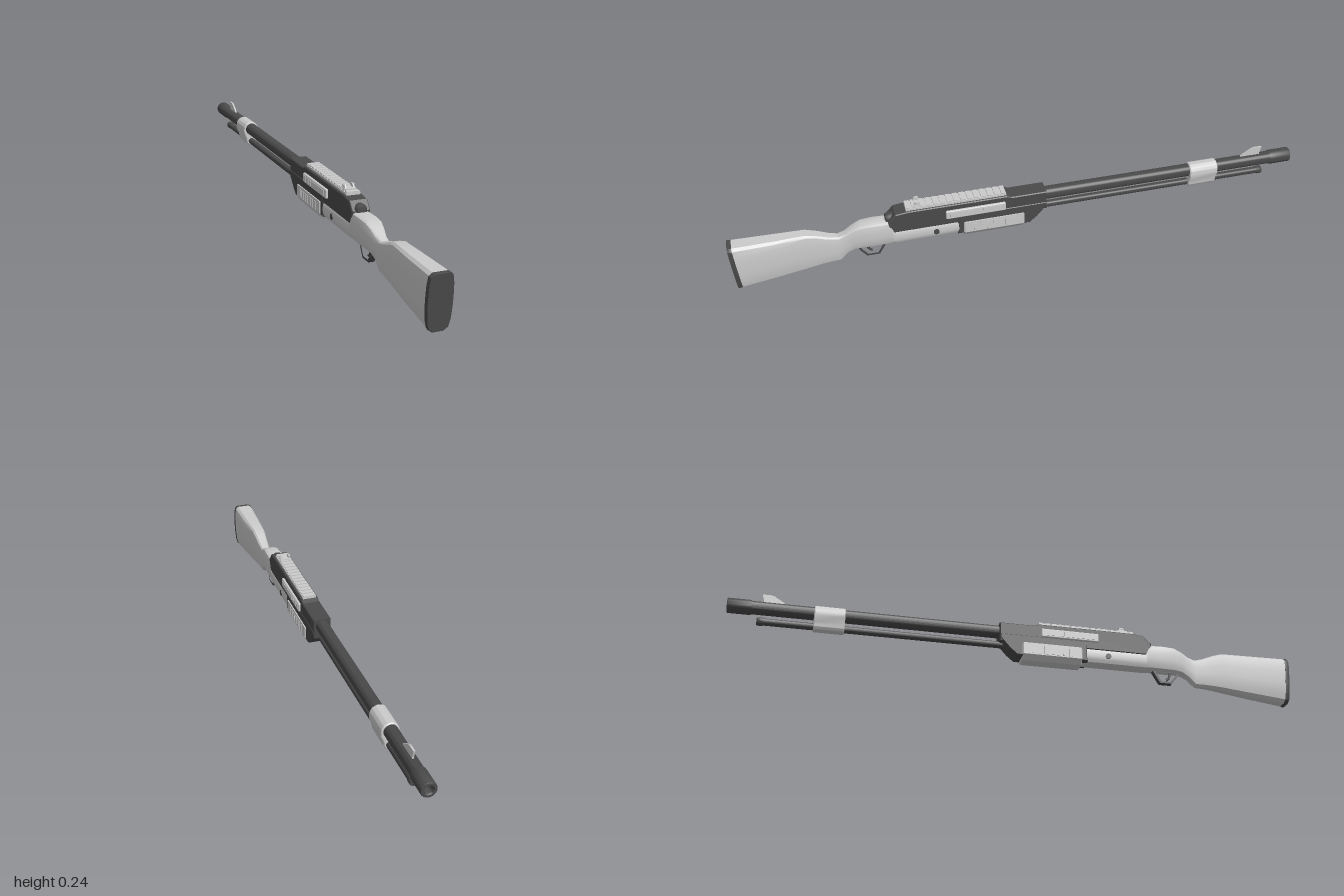
import * as THREE from 'three';
import { toCreasedNormals } from 'three/addons/utils/BufferGeometryUtils.js';
import { RoundedBoxGeometry } from 'three/addons/geometries/RoundedBoxGeometry.js';

const grey = new THREE.MeshStandardMaterial({ color: 0xcccccc });
const dark = new THREE.MeshStandardMaterial({ color: 0x4a4a4a });

// Half outline of a stock cross-section: fraction of half width, fraction of height
const HALF = [[0, 0], [0.4, 0], [0.78, 0.06], [0.93, 0.2], [1, 0.42], [1, 0.65], [0.97, 0.82], [0.87, 0.95], [0.62, 1], [0, 1]];
const RING = [...HALF, ...HALF.slice(1, -1).reverse().map(([x, y]) => [-x, y])];

// Closed skin through sections [z, bottom, top, halfWidth, lean], in order of rising z
function loft(sections) {
  const n = RING.length, pos = [], idx = [];
  for (const [z, y0, y1, w, lean = 0] of sections)
    for (const [x, y] of RING) pos.push(x * w, y0 + y * (y1 - y0), z + lean * y);
  for (let s = 0; s < sections.length - 1; s++)
    for (let i = 0; i < n; i++) {
      const a = s * n + i, b = s * n + (i + 1) % n;
      idx.push(a, b, a + n, b, b + n, a + n);
    }
  const last = (sections.length - 1) * n;
  for (let i = 1; i < n - 1; i++) {
    idx.push(0, i + 1, i);
    idx.push(last, last + i, last + i + 1);
  }
  const g = new THREE.BufferGeometry();
  g.setAttribute('position', new THREE.Float32BufferAttribute(pos, 3));
  g.setIndex(idx);
  return toCreasedNormals(g, 0.6);
}

// Side profile in (z, y), extruded across x, with optional hole and bevel
function slab(points, width, bevel = 0, hole) {
  const vec = p => p.map(([z, y]) => new THREE.Vector2(z, y));
  const shape = new THREE.Shape(vec(points));
  if (hole) shape.holes.push(new THREE.Path(vec(hole)));
  const depth = width - 2 * bevel;
  return new THREE.ExtrudeGeometry(shape, {
    depth, bevelEnabled: bevel > 0, bevelSize: bevel, bevelThickness: bevel, bevelOffset: -bevel, bevelSegments: 1,
  }).translate(0, 0, -depth / 2).rotateY(-Math.PI / 2);
}

// Turned part along z from [radius, z] points
function turned(points, y) {
  const g = new THREE.LatheGeometry(points.map(([r, z]) => new THREE.Vector2(r, z)), 28);
  return toCreasedNormals(g.rotateX(Math.PI / 2), 0.6).translate(0, y, 0);
}

export function createModel() {
  const model = new THREE.Group();
  const add = (name, geometry, material, x = 0, y = 0, z = 0, parent = model) => {
    const m = new THREE.Mesh(geometry, material);
    m.name = name;
    m.position.set(x, y, z);
    parent.add(m);
    return m;
  };
  const box = (name, w, h, d, mat, x, y, z, parent) =>
    add(name, new THREE.BoxGeometry(w, h, d), mat, x, y, z, parent);
  const group = name => {
    const g = new THREE.Group();
    g.name = name;
    model.add(g);
    return g;
  };

  // Stock, grip and lower body in one continuous skin
  add('stock', loft([
    [0.2, 0.087, 0.142, 0.032], [0.45, 0.086, 0.142, 0.032], [0.462, 0.086, 0.178, 0.032],
    [0.52, 0.085, 0.18, 0.032], [0.56, 0.085, 0.178, 0.03], [0.588, 0.083, 0.167, 0.025],
    [0.615, 0.068, 0.15, 0.02], [0.64, 0.042, 0.141, 0.019], [0.67, 0.041, 0.149, 0.021],
    [0.71, 0.037, 0.165, 0.024], [0.745, 0.032, 0.175, 0.027], [0.85, 0.018, 0.175, 0.033],
    [0.972, 0.003, 0.176, 0.038, 0.013],
  ]), grey);
  add('buttPlate', loft([
    [0.972, 0.003, 0.176, 0.039, 0.013], [0.982, 0.0, 0.177, 0.04, 0.013], [0.987, 0.002, 0.175, 0.038, 0.013],
  ]), dark);

  // Receiver: upper housing, and the deeper nose that the barrel leaves from
  add('receiver', slab([
    [0.47, 0.137], [0.47, 0.182], [0.445, 0.21], [0.4, 0.215], [0.06, 0.215], [0.045, 0.208], [-0.08, 0.208], [-0.08, 0.137],
  ], 0.062, 0.003), dark);
  add('receiverNose', slab([
    [0.235, 0.088], [0.235, 0.168], [-0.08, 0.168], [-0.08, 0.148], [-0.045, 0.108], [-0.02, 0.087],
  ], 0.066, 0.005), dark);
  add('boltEnd', turned([[0.021, 0.42], [0.021, 0.466], [0.016, 0.477], [0, 0.479]], 0.182), dark);

  // Barrel with open muzzle
  add('barrel', turned([
    [0, -0.9], [0.013, -0.9], [0.013, -0.995], [0.016, -1], [0.024, -1], [0.0255, -0.997],
    [0.0255, -0.925], [0.0225, -0.918], [0.0225, -0.07],
  ], 0.183), dark);

  // Magazine tube with end cap
  add('magazineTube', turned([
    [0, -0.9], [0.012, -0.9], [0.014, -0.896], [0.014, -0.882], [0.012, -0.878], [0.012, -0.05],
  ], 0.134), dark);

  // Clamp joining barrel and tube
  const clamp = new THREE.Shape();
  clamp.absarc(0, 0.181, 0.029, 0, Math.PI, false);
  clamp.lineTo(-0.029, 0.166);
  clamp.lineTo(-0.02, 0.145);
  clamp.absarc(0, 0.135, 0.019, Math.PI, Math.PI * 2, false);
  clamp.lineTo(0.02, 0.145);
  clamp.lineTo(0.029, 0.166);
  const clampGeo = new THREE.ExtrudeGeometry(clamp, {
    depth: 0.098, bevelSize: 0.003, bevelOffset: -0.003, bevelThickness: 0.003, bevelSegments: 1,
  });
  add('barrelClamp', toCreasedNormals(clampGeo, 0.5), grey, 0, 0, -0.712);

  // Front sight blade
  add('frontSight', slab([
    [-0.805, 0.2], [-0.815, 0.21], [-0.85, 0.232], [-0.86, 0.235], [-0.89, 0.235], [-0.883, 0.21], [-0.885, 0.2],
  ], 0.006), grey);

  // Low toothed top rail
  const rail = group('topRail');
  box('railBase', 0.048, 0.008, 0.346, grey, 0, 0.218, 0.235, rail);
  for (let i = 0; i < 15; i++)
    box('railTooth', 0.043, 0.005, 0.016, grey, 0, 0.2235, 0.0705 + i * 0.0235, rail);

  // Rear sight with two hooked posts
  const rear = group('rearSight');
  box('rearSightBase', 0.038, 0.004, 0.034, grey, 0, 0.227, 0.37, rear);
  for (const s of [-1, 1]) {
    add('rearSightPost', slab([[0.357, 0.224], [0.359, 0.24], [0.373, 0.24], [0.382, 0.224]], 0.005), grey, s * 0.014, 0, 0, rear);
    box('rearSightLip', 0.004, 0.004, 0.012, grey, s * 0.0175, 0.237, 0.366, rear);
  }

  // Side panels with a raised inner strip and dividers, plus a cross pin on each side
  for (const s of [-1, 1]) {
    const panel = group(s > 0 ? 'leftSidePanel' : 'rightSidePanel');
    add('panelPlate', new RoundedBoxGeometry(0.011, 0.032, 0.208, 2, 0.004), grey, s * 0.034, 0.18, 0.171, panel);
    box('panelStrip', 0.004, 0.02, 0.11, grey, s * 0.0395, 0.18, 0.205, panel);
    for (let i = 0; i < 3; i++)
      box('panelCell', 0.004, 0.02, 0.018, grey, s * 0.0395, 0.18, 0.088 + i * 0.025, panel);
    add('crossPin', new THREE.CylinderGeometry(0.01, 0.01, 0.008, 16).rotateZ(Math.PI / 2), dark, s * 0.031, 0.115, 0.31);
  }

  // Sliding forend: U-shaped shell with grip ribs on both flanks
  const forend = group('forend');
  const u = [[-0.037, 0.137], [-0.037, 0.094], [-0.022, 0.075], [0.022, 0.075], [0.037, 0.094], [0.037, 0.137]];
  const forendGeo = new THREE.ExtrudeGeometry(new THREE.Shape(u.map(([x, y]) => new THREE.Vector2(x, y))), {
    depth: 0.207, bevelSize: 0.004, bevelOffset: -0.004, bevelThickness: 0.004, bevelSegments: 1,
  });
  add('forendShell', forendGeo, grey, 0, 0, 0.004, forend);
  for (const s of [-1, 1])
    for (let i = 0; i < 7; i++)
      box('forendRib', 0.005, 0.03, 0.013, grey, s * 0.0365, 0.113, 0.04 + i * 0.022, forend);

  // Trigger guard and curved trigger
  add('triggerGuard', slab(
    [[0.58, 0.09], [0.572, 0.07], [0.55, 0.042], [0.506, 0.042], [0.487, 0.074], [0.478, 0.09]], 0.02, 0,
    [[0.57, 0.084], [0.564, 0.072], [0.545, 0.049], [0.511, 0.049], [0.496, 0.075], [0.492, 0.084]],
  ), dark);
  const curve = new THREE.QuadraticBezierCurve3(
    new THREE.Vector3(0, 0.09, 0.545), new THREE.Vector3(0, 0.067, 0.55), new THREE.Vector3(0, 0.056, 0.53));
  add('trigger', new THREE.TubeGeometry(curve, 8, 0.004, 8), dark);

  return model;
}
